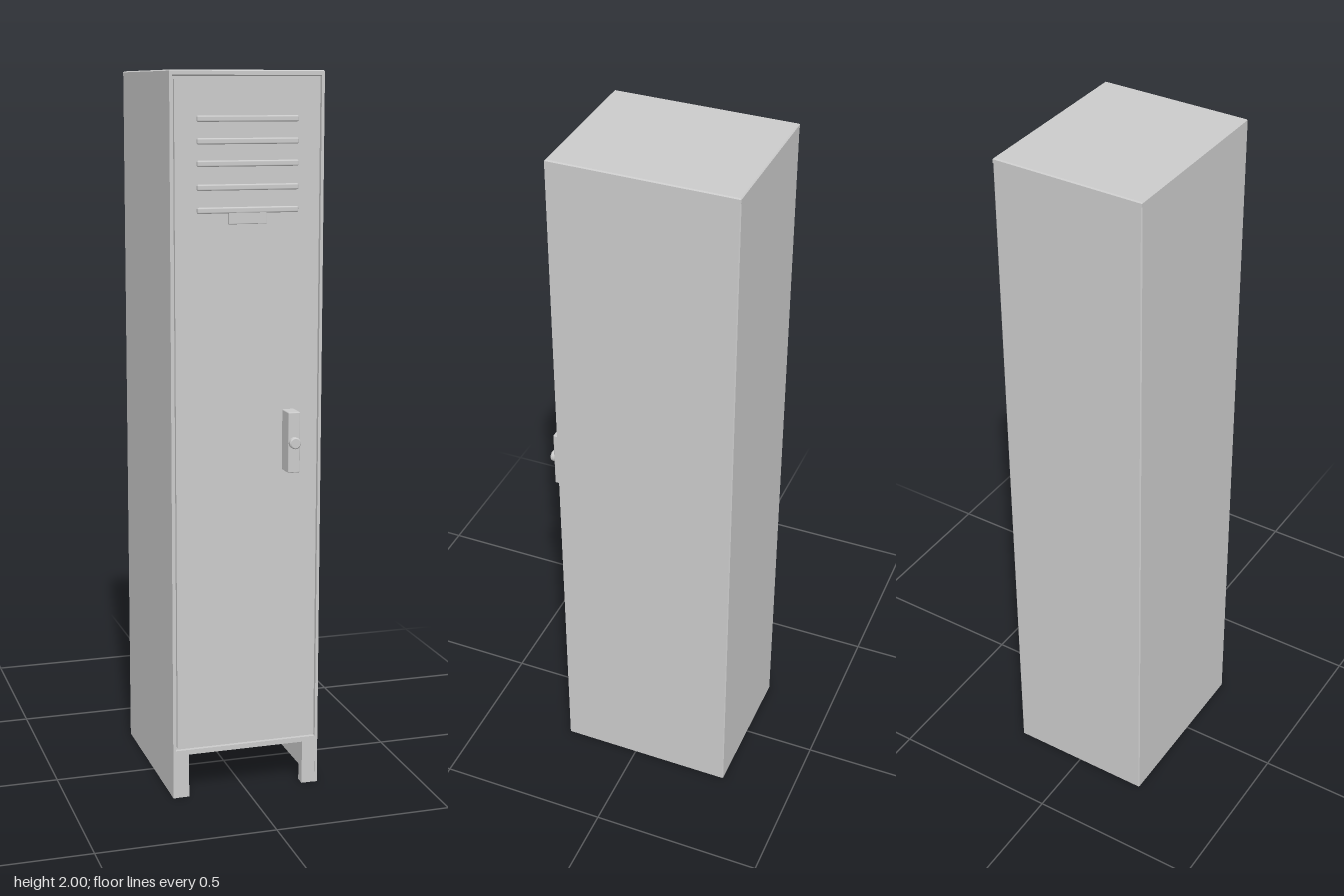
import * as THREE from 'three';
import { RoundedBoxGeometry } from 'three/addons/geometries/RoundedBoxGeometry.js';

const W = 0.213, BACK = -0.29, FRONT = 0.223, WALL = 0.008;

export function createModel() {
  const group = new THREE.Group();
  const material = new THREE.MeshStandardMaterial({ color: 0xcccccc });

  const add = (name, geometry, x = 0, y = 0, z = 0) => {
    const mesh = new THREE.Mesh(geometry, material);
    mesh.name = name;
    mesh.position.set(x, y, z);
    group.add(mesh);
    return mesh;
  };
  // box given by its limits, with an optional rounded edge
  const box = (name, x0, x1, y0, y1, z0, z1, r = 0) => {
    const s = [x1 - x0, y1 - y0, z1 - z0];
    const geometry = r ? new RoundedBoxGeometry(...s, 2, r) : new THREE.BoxGeometry(...s);
    return add(name, geometry, (x0 + x1) / 2, (y0 + y1) / 2, (z0 + z1) / 2);
  };
  // plan outline (x, z) raised from y0 to y1
  const raise = (name, points, y0, y1) => {
    const shape = new THREE.Shape(points.map(([x, z]) => new THREE.Vector2(x, -z)));
    const geometry = new THREE.ExtrudeGeometry(shape, { depth: y1 - y0, bevelEnabled: false });
    geometry.rotateX(-Math.PI / 2);
    return add(name, geometry, 0, y0, 0);
  };

  // folded sheet shell: two sides and the back, open at the front
  const c = 0.003, inner = W - WALL;
  raise('shell', [
    [-W, FRONT], [-inner, FRONT], [-inner, BACK + WALL], [inner, BACK + WALL],
    [inner, FRONT], [W, FRONT], [W, BACK + c], [W - c, BACK], [-W + c, BACK], [-W, BACK + c],
  ], 0, 1.997);

  // top with a softened rim
  const rim = new THREE.Shape([
    [-W + c, -FRONT + c], [W - c, -FRONT + c], [W - c, -BACK - c], [-W + c, -BACK - c],
  ].map(([x, y]) => new THREE.Vector2(x, y)));
  const top = new THREE.ExtrudeGeometry(rim, {
    depth: 0.01, bevelThickness: c, bevelSize: c, bevelSegments: 1,
  });
  top.rotateX(-Math.PI / 2);
  add('top', top, 0, 1.987, 0);

  // raised floor and the recessed frame behind the door
  box('floor', -inner, inner, 0.125, 0.135, BACK + WALL, 0.205);
  box('doorFrame', -inner, inner, 0.125, 1.985, 0.195, 0.211);
  box('bottomRail', -inner, inner, 0.125, 0.139, 0.205, FRONT - 0.001);

  // door, set in the frame with a narrow gap
  box('door', -0.2, 0.2, 0.147, 1.976, 0.205, FRONT - 0.001);

  // vent louvers
  for (const y of [1.875, 1.817, 1.759, 1.697, 1.637]) {
    box('louver', -0.14, 0.14, y - 0.008, y + 0.008, 0.214, 0.231, 0.004);
  }

  // label holder under the louvers
  box('labelHolder', -0.054, 0.051, 1.6, 1.634, 0.214, 0.23, 0.002);

  // handle and its round lock
  box('handle', 0.101, 0.135, 0.926, 1.094, 0.214, 0.275, 0.003);
  const lock = new THREE.LatheGeometry([
    [0, 0], [0.016, 0], [0.016, 0.02], [0.013, 0.023], [0, 0.023],
  ].map(([r, y]) => new THREE.Vector2(r, y)), 24);
  const lockMesh = add('lock', lock.toNonIndexed(), 0.118, 1.01, 0.265);
  lockMesh.geometry.computeVertexNormals();
  lockMesh.rotation.x = Math.PI / 2;

  // folded front legs: front flange with a return lip
  for (const s of [-1, 1]) {
    const a = s > 0 ? [0.167, 0.206] : [-0.206, -0.167];
    const b = s > 0 ? [0.167, 0.173] : [-0.173, -0.167];
    box('legFlange', ...a, 0, 0.126, FRONT - 0.008, FRONT - 0.001);
    box('legLip', ...b, 0, 0.126, FRONT - 0.03, FRONT - 0.002);
  }
  return group;
}
